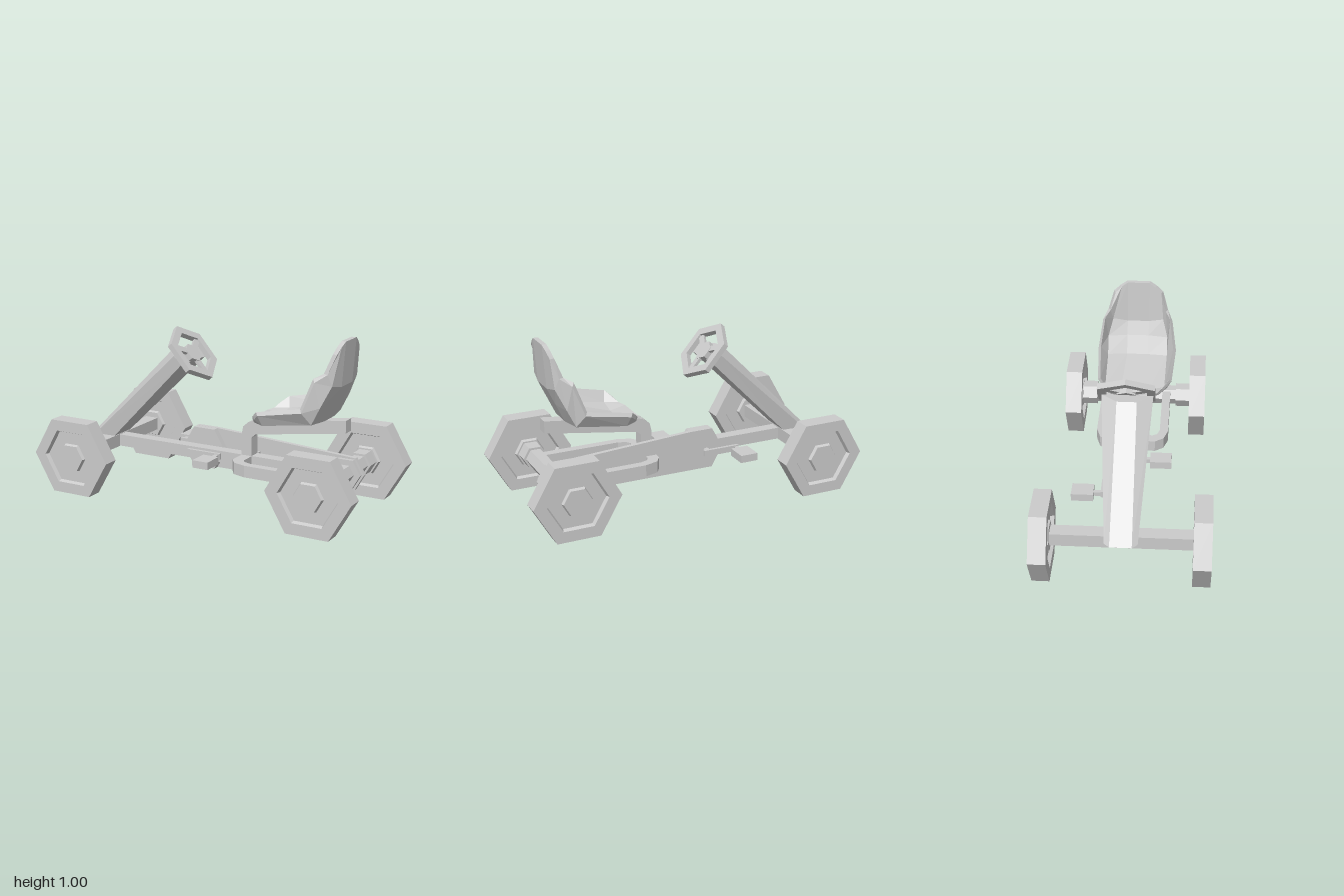
import * as THREE from 'three';

const mat = new THREE.MeshStandardMaterial({ color: 0xcccccc, flatShading: true });

export function createModel() {
  const root = new THREE.Group();

  function add(name, geometry, x = 0, y = 0, z = 0, parent = root) {
    const mesh = new THREE.Mesh(geometry, mat);
    mesh.name = name;
    mesh.position.set(x, y, z);
    parent.add(mesh);
    return mesh;
  }

  // Box given by its limits on each axis
  function box(name, x0, x1, y0, y1, z0, z1) {
    return add(name, new THREE.BoxGeometry(x1 - x0, y1 - y0, z1 - z0),
      (x0 + x1) / 2, (y0 + y1) / 2, (z0 + z1) / 2);
  }

  const shapeOf = pts => new THREE.Shape(pts.map(p => new THREE.Vector2(...p)));
  const extrude = (shape, depth) =>
    new THREE.ExtrudeGeometry(shape, { depth, bevelEnabled: false });
  const hexPoints = (r, cx = 0, cy = 0) => Array.from({ length: 6 }, (_, i) =>
    [cx + r * Math.cos(i * Math.PI / 3), cy + r * Math.sin(i * Math.PI / 3)]);

  // Six-sided bar along z
  function hexBar(name, r, length, x, y, z) {
    const g = new THREE.CylinderGeometry(r, r, length, 6, 1, false, Math.PI / 2);
    return add(name, g.rotateX(Math.PI / 2), x, y, z);
  }

  // Closed solid through equal loops; caps join mirrored points of the loop
  function loft(sections) {
    const n = sections[0].length, index = [];
    const quad = (a, b, c, d) => index.push(a, b, c, a, c, d);
    for (let s = 0; s < sections.length - 1; s++) {
      for (let i = 0; i < n; i++) {
        const j = (i + 1) % n, a = s * n, b = a + n;
        quad(a + i, a + j, b + j, b + i);
      }
    }
    const e = (sections.length - 1) * n;
    for (let i = 0; i < n / 2 - 1; i++) {
      quad(e + i, e + i + 1, e + n - 2 - i, e + n - 1 - i);
      quad(n - 1 - i, n - 2 - i, i + 1, i);
    }
    const g = new THREE.BufferGeometry();
    g.setAttribute('position', new THREE.Float32BufferAttribute(sections.flat(2), 3));
    g.setIndex(index);
    const flat = g.toNonIndexed();
    flat.computeVertexNormals();
    return flat;
  }

  // Wheels: six-sided, with a recessed disc and raised hub on both faces
  function wheel(name, r, x, y, z) {
    const h = 0.049;
    const half = [[0, h - 0.004], [0.082, h - 0.004], [0.09, h - 0.022],
      [0.168, h - 0.022], [0.178, h], [r, h]];
    const profile = [...half.map(([a, b]) => [a, -b]), ...half.slice().reverse()];
    const g = new THREE.LatheGeometry(profile.map(p => new THREE.Vector2(...p)), 6, Math.PI / 2);
    add(name, g.rotateX(Math.PI / 2), x, y, z);
  }
  for (const s of [1, -1]) {
    wheel('frontWheel', 0.25, -0.75, 0.228, s * 0.434);
    wheel('rearWheel', 0.253, 0.742, 0.222, s * 0.384);
    hexBar('rearAxleSleeve', 0.072, 0.1, 0.742, 0.222, s * 0.3);
  }

  // Axles and main beam
  hexBar('rearAxle', 0.058, 0.62, 0.742, 0.222, 0);
  box('frontAxle', -0.792, -0.707, 0.193, 0.268, -0.4, 0.4);
  box('mainBeam', -0.75, 0.74, 0.195, 0.265, -0.035, 0.035);

  // Low frame loop around the seat post, open towards the rear axle
  const side = [[0.74, 0.215], [0.25, 0.215], [0.17, 0.19], [0.135, 0.14]];
  const inner = [[0.2, 0.125], [0.215, 0.15], [0.26, 0.165], [0.74, 0.165]];
  const mirror = pts => pts.map(([x, z]) => [x, -z]).reverse();
  const loop = [...side, ...mirror(side), ...mirror(inner), ...inner];
  add('frameLoop', extrude(shapeOf(loop), 0.068).rotateX(Math.PI / 2), 0, 0.264, 0);

  // Bent seat support
  const support = [[0.135, 0.197], [0.2, 0.197], [0.2, 0.375], [0.225, 0.397], [0.78, 0.48],
    [0.78, 0.552], [0.25, 0.488], [0.18, 0.465], [0.145, 0.435], [0.135, 0.39]];
  add('seatSupport', extrude(shapeOf(support), 0.07), 0, 0, -0.035);

  // Chain guard with front and rear housings
  const guard = [[-0.29, 0.245], [-0.224, 0.125], [0.69, 0.127], [0.796, 0.127],
    [0.85, 0.22], [0.796, 0.313], [-0.086, 0.365], [-0.224, 0.365]];
  add('chainGuard', extrude(shapeOf(guard), 0.026), 0, 0, -0.098);
  add('frontChainHousing', extrude(shapeOf(hexPoints(0.138, -0.155, 0.245)), 0.04), 0, 0, -0.074);
  add('rearChainHousing', extrude(shapeOf(hexPoints(0.095, 0.742, 0.222)), 0.026), 0, 0, -0.074);

  // Pedals on opposite cranks
  hexBar('crankAxle', 0.018, 0.19, -0.185, 0.234, -0.04);
  box('leftCrank', -0.215, 0, 0.216, 0.252, 0.038, 0.056);
  box('leftPedalPin', -0.03, -0.006, 0.222, 0.246, 0.05, 0.13);
  box('leftPedal', -0.07, 0.03, 0.212, 0.256, 0.12, 0.245);
  box('rightCrank', -0.375, -0.155, 0.216, 0.252, -0.145, -0.127);
  box('rightPedalPin', -0.371, -0.347, 0.222, 0.246, -0.19, -0.13);
  box('rightPedal', -0.41, -0.305, 0.212, 0.256, -0.31, -0.185);

  // Steering column fairing, widening upwards
  const bothSides = pts =>
    [...pts, ...pts.map(([x, y, z]) => [x, y, -z]).reverse()];
  add('steeringColumn', loft([
    bothSides([[-0.88, 0.265, 0.06], [-0.85, 0.265, 0.09], [-0.715, 0.265, 0.085]]),
    bothSides([[-0.325, 0.825, 0.055], [-0.25, 0.822, 0.142], [-0.205, 0.772, 0.135]]),
  ]));

  // Steering wheel: local z is the tilted wheel axis
  const steering = new THREE.Group();
  steering.name = 'steeringWheel';
  const axis = new THREE.Vector3(0.76, 0.65, 0);
  const along = new THREE.Vector3(0.65, -0.76, 0);
  steering.quaternion.setFromRotationMatrix(new THREE.Matrix4().makeBasis(
    along.normalize(), new THREE.Vector3().crossVectors(axis.normalize(), along), axis));
  steering.position.set(-0.212, 0.815, -0.007);
  root.add(steering);
  const rim = shapeOf(hexPoints(0.182));
  rim.holes.push(new THREE.Path(hexPoints(0.132).map(p => new THREE.Vector2(...p))));
  add('steeringRim', extrude(rim, 0.032), 0, 0, -0.016, steering);
  add('steeringHub', extrude(shapeOf(hexPoints(0.06)), 0.03), 0, 0, -0.022, steering);
  for (let i = 0; i < 3; i++) {
    const a = i * Math.PI * 2 / 3;
    const spoke = add('steeringSpoke', new THREE.BoxGeometry(0.11, 0.036, 0.018),
      0.095 * Math.cos(a), 0.095 * Math.sin(a), -0.004, steering);
    spoke.rotation.z = a;
  }

  // Bucket seat: each row gives spine, middle and edge points of the outer face
  const rows = [
    [[0.255, 0.5, 0.1], [0.275, 0.505, 0.145], [0.295, 0.53, 0.18]],
    [[0.35, 0.483, 0.09], [0.35, 0.505, 0.19], [0.335, 0.565, 0.22]],
    [[0.67, 0.545, 0.07], [0.65, 0.55, 0.195], [0.61, 0.62, 0.238]],
    [[0.72, 0.65, 0.07], [0.7, 0.65, 0.195], [0.672, 0.79, 0.212]],
    [[0.768, 0.75, 0.07], [0.755, 0.77, 0.165], [0.735, 0.835, 0.182]],
    [[0.787, 1.0, 0.07], [0.78, 0.975, 0.11], [0.772, 0.94, 0.15]],
  ];
  const seatRows = rows.map((row, k) => {
    const outer = bothSides(row.slice().reverse());
    const back = k > 3 ? 1 : 0.5;
    const face = outer.map(([x, y, z]) =>
      [x - 0.028 * back, y + (k > 3 ? 0 : 0.018), z * 0.93]);
    return [...outer, ...face.reverse()];
  });
  add('seat', loft(seatRows), 0, 0, 0.008);

  return root;
}
